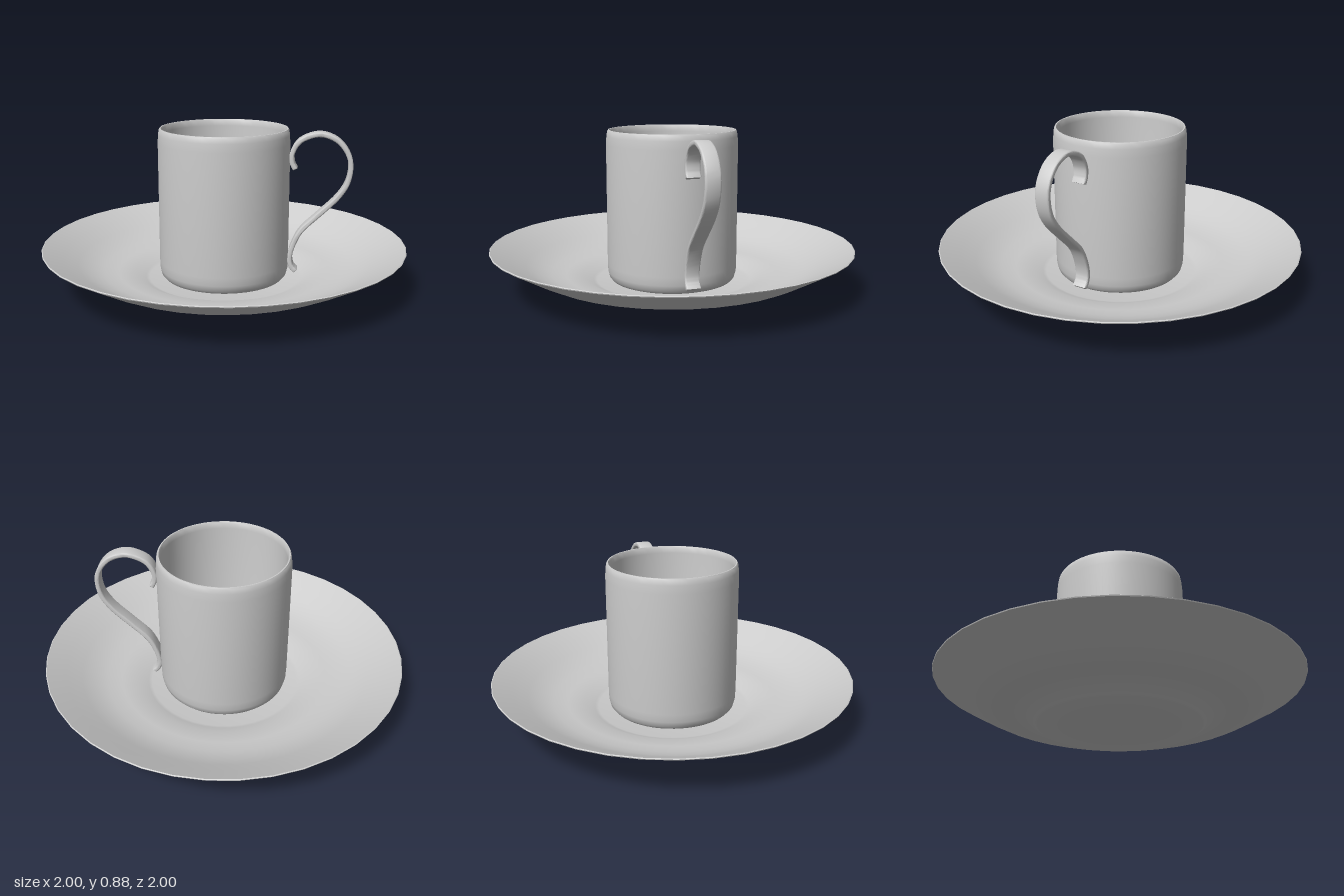
import * as THREE from 'three';
import { toCreasedNormals } from 'three/addons/utils/BufferGeometryUtils.js';

const material = new THREE.MeshStandardMaterial({ color: 0xcccccc });
const vectors = (pairs) => pairs.map(([x, y]) => new THREE.Vector2(x, y));

function addMesh(group, name, geometry, crease) {
  const mesh = new THREE.Mesh(toCreasedNormals(geometry, crease), material);
  mesh.name = name;
  group.add(mesh);
}

export function createModel() {
  const group = new THREE.Group();
  group.name = 'cupAndSaucer';

  // Saucer: closed profile, underside outwards to the rim, then back to the centre
  addMesh(group, 'saucer', new THREE.LatheGeometry(vectors([
    [0, 0], [0.435, 0], [0.45, 0.008], [0.515, 0.055], [0.6, 0.062], [0.68, 0.077],
    [0.75, 0.1], [0.82, 0.135], [0.9, 0.18], [0.998, 0.235],
    [1, 0.24], [0.995, 0.243],
    [0.89, 0.19], [0.81, 0.148], [0.74, 0.115], [0.67, 0.095], [0.59, 0.082],
    [0.5, 0.075], [0.44, 0.045], [0.42, 0.04], [0, 0.04],
  ]), 40), 0.6);

  // Cup: straight wall with softened foot and lip, hollow inside
  addMesh(group, 'cup', new THREE.LatheGeometry(vectors([
    [0, 0.041], [0.315, 0.041], [0.335, 0.048], [0.35, 0.065], [0.358, 0.095],
    [0.36, 0.14], [0.36, 0.8], [0.357, 0.845], [0.353, 0.87], [0.348, 0.878], [0.342, 0.878],
    [0.337, 0.87], [0.335, 0.84], [0.335, 0.13], [0.328, 0.09], [0.31, 0.07], [0, 0.066],
  ]), 64), 0.8);

  // Handle: a ribbon following a scroll-shaped curve with outward-curled ends
  const path = new THREE.SplineCurve(vectors([
    [0.387, 0.668], [0.373, 0.7], [0.375, 0.755], [0.42, 0.82], [0.52, 0.853],
    [0.62, 0.815], [0.681, 0.72], [0.675, 0.605], [0.62, 0.51], [0.52, 0.41],
    [0.43, 0.32], [0.385, 0.23], [0.37, 0.16], [0.378, 0.115], [0.398, 0.09],
  ]));
  const steps = 72;
  const offset = (side) => Array.from({ length: steps + 1 }, (_, i) => {
    const p = path.getPoint(i / steps);
    const t = path.getTangent(i / steps);
    return new THREE.Vector2(p.x - t.y * side, p.y + t.x * side);
  });
  const outline = new THREE.Shape([...offset(0.006), ...offset(-0.006).reverse()]);
  const ribbon = new THREE.ExtrudeGeometry(outline, {
    depth: 0.064, bevelEnabled: true, bevelThickness: 0.008, bevelSize: 0.007, bevelSegments: 3,
  });
  ribbon.translate(0, 0, -0.032);
  addMesh(group, 'handle', ribbon, 0.7);

  return group;
}
